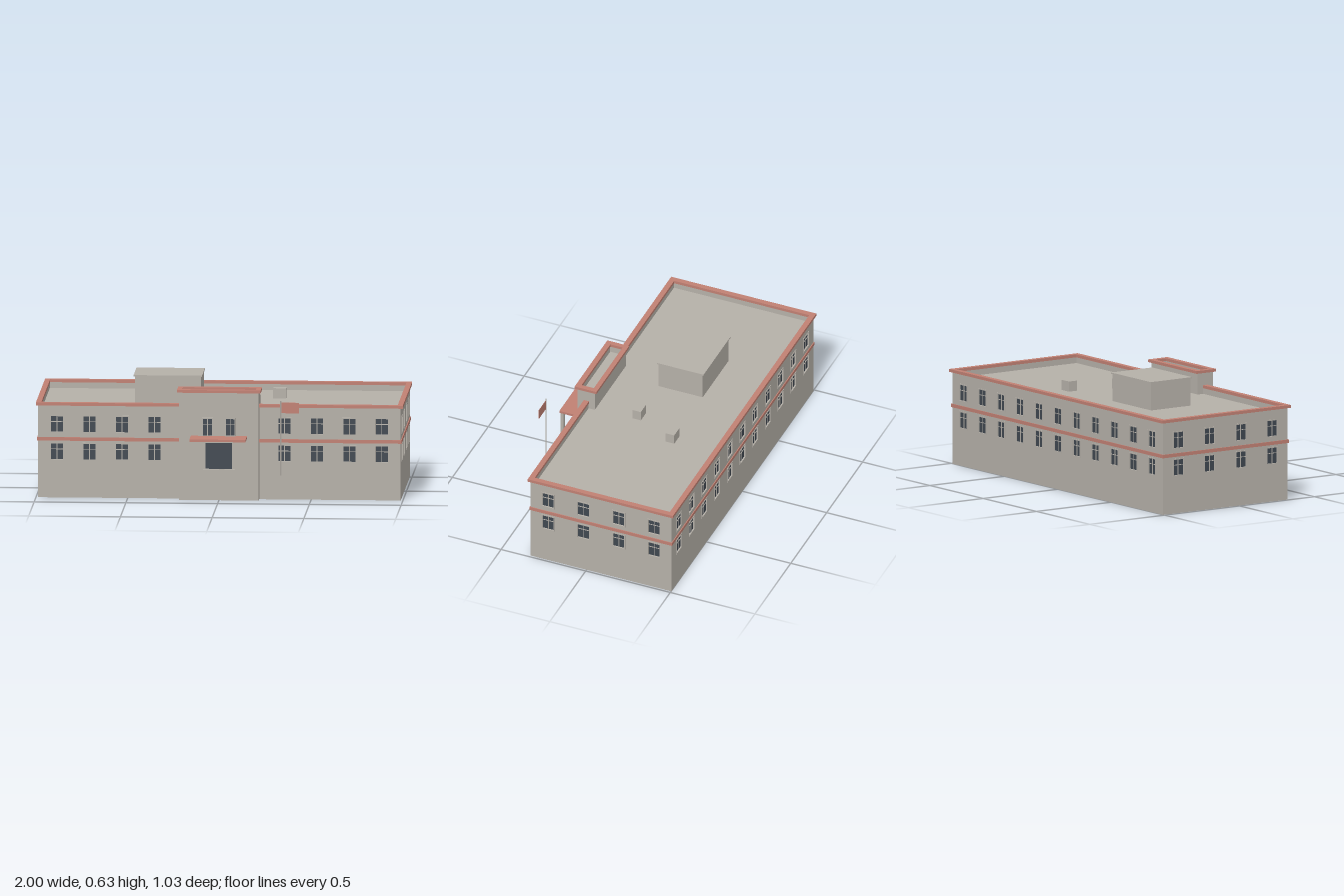
import * as THREE from 'three';

const wallMat = new THREE.MeshStandardMaterial({ name: 'warm grey render', color: 0xb5b0a8, side: THREE.DoubleSide });
const trimMat = new THREE.MeshStandardMaterial({ name: 'terracotta trim', color: 0xc08073 });
const glassMat = new THREE.MeshStandardMaterial({ name: 'dark glass', color: 0x3f4750 });

const HALF_X = 0.988, BACK = -0.502, FRONT = 0.33, T = 0.015;
const WALL_TOP = 0.507, ROOF = 0.475, MID_Z = (BACK + FRONT) / 2;
const ROWS = [0.253, 0.404];
const WIN_W = 0.078, WIN_H = 0.098;

// Box given by its min and max corners
function box(parent, name, mat, x0, x1, y0, y1, z0, z1) {
  const m = new THREE.Mesh(new THREE.BoxGeometry(x1 - x0, y1 - y0, z1 - z0), mat);
  m.position.set((x0 + x1) / 2, (y0 + y1) / 2, (z0 + z1) / 2);
  m.name = name;
  parent.add(m);
  return m;
}

function rect(Type, x0, x1, y0, y1) {
  const s = new Type();
  s.moveTo(x0, y0);
  s.lineTo(x1, y0);
  s.lineTo(x1, y1);
  s.lineTo(x0, y1);
  s.closePath();
  return s;
}

function extrude(shape, depth) {
  return new THREE.ExtrudeGeometry(shape, { depth, bevelEnabled: false });
}

// Horizontal rectangular ring, used for bands and copings
function ring(parent, name, mat, hx, z0, z1, ix, iz0, iz1, y0, y1) {
  const s = rect(THREE.Shape, -hx, hx, -z1, -z0);
  s.holes.push(rect(THREE.Path, -ix, ix, -iz1, -iz0));
  const m = new THREE.Mesh(extrude(s, y1 - y0).rotateX(-Math.PI / 2), mat);
  m.position.y = y0;
  m.name = name;
  parent.add(m);
}

// Framed window facing +z; its glass lies just behind local z = 0
function makeWindow(w, h, name = 'window', bars = true) {
  const g = new THREE.Group();
  g.name = name;
  const b = 0.006, gw = w / 2 - b, gh = h / 2 - b;
  const s = rect(THREE.Shape, -w / 2, w / 2, -h / 2, h / 2);
  s.holes.push(rect(THREE.Path, -gw, gw, -gh, gh));
  const frame = new THREE.Mesh(extrude(s, 0.011), wallMat);
  frame.position.z = -0.002;
  frame.name = 'windowFrame';
  g.add(frame);
  box(g, 'windowGlass', glassMat, -gw, gw, -gh, gh, -0.002, 0.001);
  if (bars) {
    box(g, 'mullion', wallMat, -0.002, 0.002, -gh, gh, 0.001, 0.004);
    const ty = gh * 0.3;
    box(g, 'transom', wallMat, -gw, gw, ty - 0.0015, ty + 0.0015, 0.001, 0.004);
  }
  return g;
}

// Wall with two rows of windows, its outer face at local z = 0
function facade(name, width, centres) {
  const g = new THREE.Group();
  g.name = name;
  const s = rect(THREE.Shape, -width / 2, width / 2, 0, WALL_TOP);
  const hw = WIN_W / 2 - 0.002, hh = WIN_H / 2 - 0.002;
  for (const y of ROWS) {
    for (const x of centres) {
      s.holes.push(rect(THREE.Path, x - hw, x + hw, y - hh, y + hh));
      const w = makeWindow(WIN_W, WIN_H);
      w.position.set(x, y, -0.006);
      g.add(w);
    }
  }
  const wall = new THREE.Mesh(extrude(s, T), wallMat);
  wall.position.z = -T;
  wall.name = name + 'Panel';
  g.add(wall);
  return g;
}

export function createModel() {
  const model = new THREE.Group();
  model.name = 'twoStoreyBuilding';

  // Four outer walls, open underneath
  const bays = [...Array(11).keys()].map(i => (i - 5) * 0.177);
  const frontWall = facade('frontWall', HALF_X * 2, bays.filter(x => Math.abs(x) > 0.3));
  frontWall.position.z = FRONT;
  const backWall = facade('backWall', HALF_X * 2, bays);
  backWall.rotation.y = Math.PI;
  backWall.position.z = BACK;
  model.add(frontWall, backWall);
  const sideBays = [0, 1, 2, 3].map(i => (i - 1.5) * 0.2085);
  for (const s of [-1, 1]) {
    const side = facade(s > 0 ? 'leftWall' : 'rightWall', FRONT - BACK - 2 * T, sideBays);
    side.rotation.y = s * Math.PI / 2;
    side.position.set(s * HALF_X, 0, MID_Z);
    model.add(side);
  }

  // Roof deck, string course and parapet coping
  box(model, 'roofDeck', wallMat, -HALF_X + T, HALF_X - T, ROOF - 0.006, ROOF, BACK + T, FRONT - T);
  ring(model, 'stringCourse', trimMat, HALF_X + 0.005, BACK - 0.005, FRONT + 0.005,
    HALF_X - 0.002, BACK + 0.002, FRONT - 0.002, 0.313, 0.332);
  ring(model, 'parapetCoping', trimMat, 1, BACK - 0.013, FRONT + 0.013,
    HALF_X - T - 0.002, BACK + T + 0.002, FRONT - T - 0.002, WALL_TOP, 0.523);

  // Entrance tower
  const tower = new THREE.Group();
  tower.name = 'entranceTower';
  model.add(tower);
  const tx = 0.217, tb = 0.278, tf = 0.38, tt = 0.592;
  box(tower, 'towerFront', wallMat, -tx, tx, 0, tt, tf - T, tf);
  box(tower, 'towerBack', wallMat, -tx + T, tx - T, ROOF, tt, tb, tb + T);
  for (const s of [-1, 1]) {
    const x = s * (tx - T / 2);
    box(tower, 'towerSide', wallMat, x - T / 2, x + T / 2, 0, tt, tb, tf - T);
  }
  box(tower, 'towerRoof', wallMat, -tx + T, tx - T, 0.55, 0.556, tb + T, tf - T);
  ring(tower, 'towerCoping', trimMat, 0.228, 0.264, 0.393, 0.2, 0.291, 0.363, tt, 0.607);
  for (const s of [-1, 1]) {
    const w = makeWindow(0.06, 0.104, 'towerWindow');
    w.position.set(s * 0.062, 0.402, tf);
    tower.add(w);
  }

  // Doorway, step and canopy
  const door = makeWindow(0.158, 0.156, 'entranceDoor', false);
  door.position.set(0, 0.245, tf);
  tower.add(door);
  box(tower, 'doorStep', wallMat, -0.086, 0.086, 0.163, 0.172, tf, 0.405);
  box(tower, 'canopy', trimMat, -0.153, 0.153, 0.341, 0.354, tf, 0.515);
  for (const s of [-1, 1]) {
    box(tower, 'canopyPost', wallMat, s * 0.14 - 0.009, s * 0.14 + 0.009, 0.173, 0.341, 0.492, 0.511);
  }

  // Rooftop house and vents
  box(model, 'roofHouse', wallMat, -0.478, -0.117, ROOF, 0.625, -0.218, 0.043);
  box(model, 'roofHouseSlab', wallMat, -0.485, -0.112, 0.625, 0.633, -0.225, 0.049);
  box(model, 'roofVent', wallMat, 0.262, 0.332, ROOF, 0.531, -0.24, -0.188);
  box(model, 'roofVent', wallMat, 0.138, 0.208, ROOF, 0.531, 0.01, 0.06);

  // Flagpole and flag
  const pole = new THREE.Mesh(new THREE.CylinderGeometry(0.004, 0.004, 0.412, 8), wallMat);
  pole.position.set(0.346, 0.365, 0.512);
  pole.name = 'flagpole';
  model.add(pole);
  box(model, 'flag', trimMat, 0.349, 0.445, 0.503, 0.561, 0.511, 0.513);

  return model;
}
